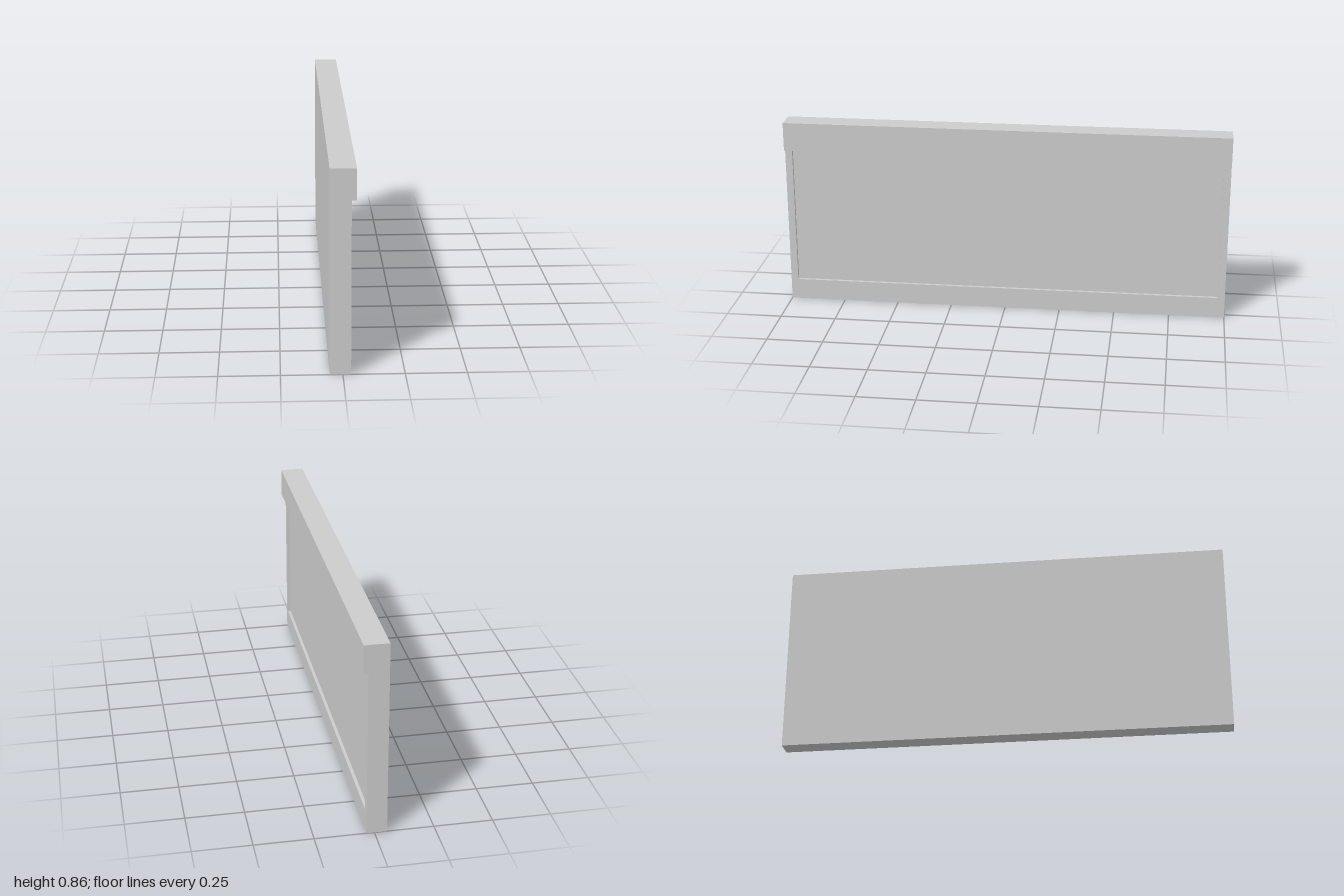
import * as THREE from 'three';

const HEIGHT = 0.857, BACK = -0.053, PANEL = 0.019, FRAME = 0.033, CAP = 0.053;
const RAIL_TOP = 0.095, CAP_BOTTOM = 0.728, STILE = 0.032;

export function createModel() {
  const model = new THREE.Group();
  const material = new THREE.MeshStandardMaterial({ color: 0xcccccc });

  // Box given by its limits along each axis
  const slab = (name, [x0, x1], [y0, y1], [z0, z1]) => {
    const mesh = new THREE.Mesh(new THREE.BoxGeometry(x1 - x0, y1 - y0, z1 - z0), material);
    mesh.name = name;
    mesh.position.set((x0 + x1) / 2, (y0 + y1) / 2, (z0 + z1) / 2);
    model.add(mesh);
  };

  const inner = 1 - STILE;

  // Recessed panel, framed on its +x face
  slab('panel', [BACK, PANEL], [RAIL_TOP, CAP_BOTTOM], [-inner, inner]);
  slab('bottomRail', [BACK, FRAME], [0, RAIL_TOP], [-inner, inner]);
  slab('frontStile', [BACK, FRAME], [0, CAP_BOTTOM], [inner, 1]);
  slab('backStile', [BACK, FRAME], [0, CAP_BOTTOM], [-1, -inner]);

  // Thicker top rail overhanging the frame
  slab('topRail', [BACK, CAP], [CAP_BOTTOM, HEIGHT], [-1, 1]);

  return model;
}
